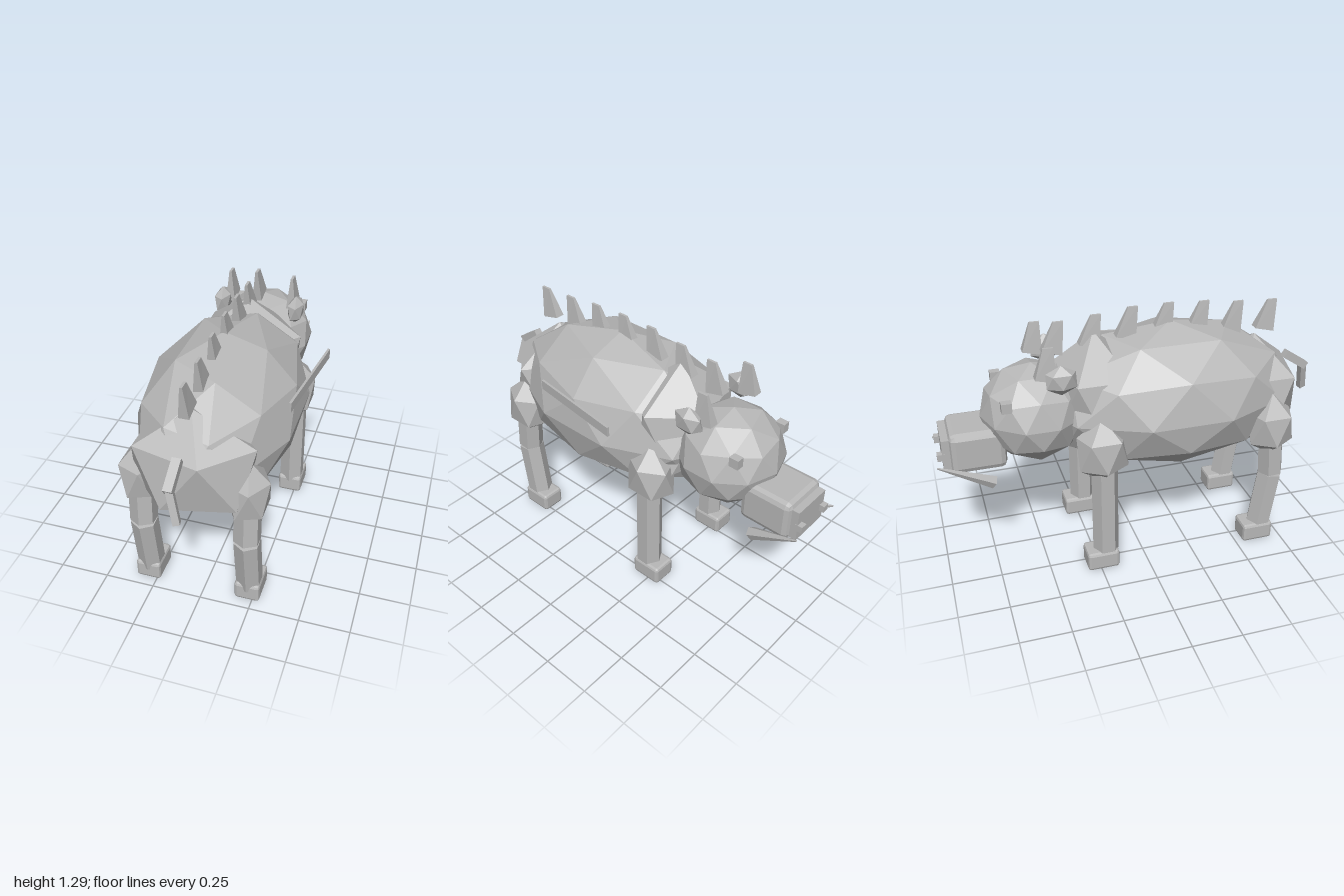
import * as THREE from 'three';
import { RoundedBoxGeometry } from 'three/addons/geometries/RoundedBoxGeometry.js';

const CX = -0.035; // mirror line of the animal

export function createModel() {
  const model = new THREE.Group();
  model.name = 'spinedBoar';
  const hide = new THREE.MeshStandardMaterial({ color: 0xb8b8b8, flatShading: true });
  hide.name = 'greyHide';

  const add = (name, geo, x = 0, y = 0, z = 0) => {
    const mesh = new THREE.Mesh(geo, hide);
    mesh.name = name;
    mesh.position.set(x, y, z);
    model.add(mesh);
    return mesh;
  };

  // Faceted ball with its poles on the y axis; sag lowers its waist
  const ball = (detail, rx, ry, rz, sag = 0) => {
    const geo = new THREE.IcosahedronGeometry(1, detail)
      .rotateZ(Math.atan(2 / (1 + Math.sqrt(5)))).rotateY(Math.PI);
    const pos = geo.attributes.position;
    for (let i = 0; i < pos.count; i++) {
      const y = pos.getY(i);
      pos.setY(i, y - sag * (1 - y * y));
    }
    return geo.scale(rx, ry, rz);
  };

  const bevelBox = (w, h, d, r) => new RoundedBoxGeometry(w, h, d, 1, r);

  // Turn a part built along y so that it runs from a to b
  const between = (name, geo, a, b) => {
    const p = new THREE.Vector3(...a), q = new THREE.Vector3(...b);
    const mesh = add(name, geo, ...p.clone().add(q).multiplyScalar(0.5).toArray());
    mesh.quaternion.setFromUnitVectors(new THREE.Vector3(0, 1, 0), q.sub(p).normalize());
    return mesh;
  };

  // Wedge spike: a box with a narrow top, leaning towards the tail
  const spike = (h, lean) => {
    const geo = new THREE.BoxGeometry(0.05, h, 0.1);
    const pos = geo.attributes.position;
    for (let i = 0; i < pos.count; i++) {
      if (pos.getY(i) > 0) {
        pos.setX(i, pos.getX(i) * 0.25);
        pos.setZ(i, pos.getZ(i) * 0.5 + lean);
      } else if (pos.getZ(i) < 0) {
        pos.setY(i, pos.getY(i) + 0.025);
      }
    }
    geo.computeVertexNormals();
    return geo;
  };

  // Trunk
  add('body', ball(1, 0.397, 0.37, 0.66, 0.08), CX, 0.83, 0.2);
  add('haunches', ball(0, 0.33, 0.295, 0.24), CX, 0.78, 0.66);
  add('withers', ball(0, 0.31, 0.34, 0.255), CX, 0.85, -0.19);

  // Head and snout
  add('head', ball(1, 0.267, 0.25, 0.265), CX, 0.815, -0.5);
  add('snout', bevelBox(0.265, 0.21, 0.27, 0.03), CX, 0.685, -0.795);
  add('noseDisc', new THREE.BoxGeometry(0.215, 0.165, 0.06), CX, 0.68, -0.935);

  for (const [side, s] of [['left', 1], ['right', -1]]) {
    const x = (d) => CX + s * d;
    add(side + 'Nostril', new THREE.BoxGeometry(0.035, 0.035, 0.04), x(0.092), 0.675, -0.97);
    add(side + 'Eye', new THREE.BoxGeometry(0.04, 0.05, 0.05), x(0.18), 0.935, -0.655);
    add(side + 'Ear', ball(0, 0.046, 0.075, 0.085), x(0.2), 1.045, -0.395);
    add(side + 'Horn', spike(0.17, 0.02), x(0.167), 1.115, -0.465);
    between(side + 'Tusk', new THREE.CylinderGeometry(0.005, 0.034, 0.3, 5),
      [x(0.118), 0.505, -0.735], [x(0.155), 0.65, -0.995]);

    // Legs
    const lx = x(0.258);
    add(side + 'FrontShoulder', ball(0, 0.114, 0.172, 0.142, 0.1), x(0.258), 0.682, -0.22);
    add(side + 'FrontLeg', new THREE.CylinderGeometry(0.067, 0.067, 0.57, 6), lx, 0.365, -0.212);
    add(side + 'FrontHoof', bevelBox(0.127, 0.1, 0.165, 0.015), lx, 0.052, -0.237);
    add(side + 'Thigh', ball(0, 0.114, 0.168, 0.136, 0.1), x(0.258), 0.682, 0.663);
    between(side + 'HindUpperLeg', new THREE.CylinderGeometry(0.067, 0.067, 0.21, 6),
      [lx, 0.61, 0.672], [lx, 0.4, 0.686]);
    between(side + 'HindLowerLeg', new THREE.CylinderGeometry(0.067, 0.067, 0.325, 6),
      [lx, 0.39, 0.684], [lx, 0.07, 0.64]);
    add(side + 'HindHoof', bevelBox(0.127, 0.1, 0.165, 0.015), lx, 0.052, 0.618);
  }

  // Row of spikes along the spine
  const tops = [1.25, 1.26, 1.28, 1.29, 1.29, 1.27, 1.255];
  tops.forEach((top, i) => add('spineSpike' + (i + 1), spike(0.165, 0.04),
    CX, top - 0.0825, 0.705 - 0.184 * i));

  // Bent tail
  between('tailRoot', new THREE.BoxGeometry(0.042, 0.15, 0.04), [CX, 0.935, 0.85], [CX, 0.86, 0.965]);
  between('tailTip', new THREE.BoxGeometry(0.035, 0.17, 0.032), [CX, 0.87, 0.955], [0.003, 0.71, 0.985]);

  // Thin slat along the left flank
  const slat = add('flankSlat', new THREE.BoxGeometry(0.012, 0.05, 0.52), 0.37, 0.977, 0.14);
  slat.rotation.y = -0.132;

  return model;
}
